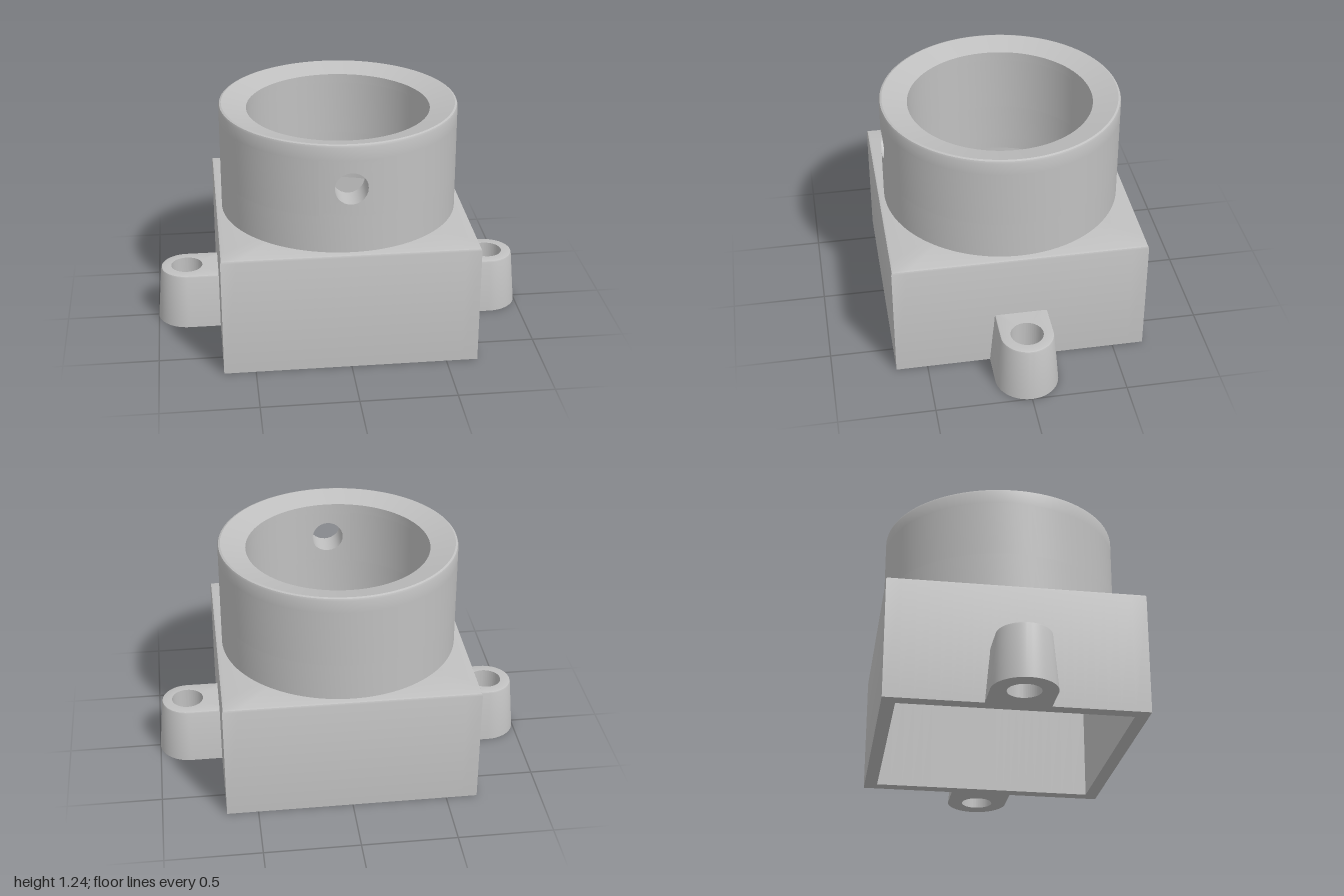
import * as THREE from 'three';
import { toCreasedNormals, mergeGeometries } from 'three/addons/utils/BufferGeometryUtils.js';

const CREASE = 0.6;
const BORE = 0.485, COLLAR = 0.63, SEGMENTS = 96;

// Skin a list of equal-length point loops; corners stay sharp, curves smooth.
function loft(loops) {
  const n = loops[0].length, index = [];
  for (let j = 0; j < loops.length - 1; j++) {
    for (let i = 0; i < n; i++) {
      const k = (i + 1) % n, a = j * n, b = a + n;
      index.push(a + i, a + k, b + k, a + i, b + k, b + i);
    }
  }
  const geometry = new THREE.BufferGeometry();
  geometry.setAttribute('position', new THREE.Float32BufferAttribute(loops.flat(2), 3));
  geometry.setIndex(index);
  return toCreasedNormals(geometry, CREASE);
}

// Horizontal loop at height y; radius is a function of the angle.
function ring(y, radius, n = SEGMENTS) {
  return Array.from({ length: n }, (_, i) => {
    const a = (i / n) * Math.PI * 2, r = radius(a);
    return [r * Math.sin(a), y, r * Math.cos(a)];
  });
}
const circle = r => () => r;
const square = h => a => h / Math.max(Math.abs(Math.sin(a)), Math.abs(Math.cos(a)));
// Round towards +x, straight sides running back towards -x.
const tongue = r => a => {
  const s = Math.sin(a), c = Math.abs(Math.cos(a));
  return s >= 0 ? r : Math.min(r / Math.max(c, 1e-6), 0.21 / -s);
};

function lathe(points, start = 0, steps = SEGMENTS) {
  const step = (Math.PI * 2) / SEGMENTS;
  const profile = points.map(p => new THREE.Vector2(...p));
  const g = new THREE.LatheGeometry(profile, steps, start * step, steps * step);
  return toCreasedNormals(g, CREASE);
}

// Piece of collar wall pierced by a round hole facing +z.
function piercedWall(halfAngle, halfHeight, y, holeRadius) {
  const loop = (R, t) => Array.from({ length: 32 }, (_, k) => {
    const f = (k % 8) / 4 - 1;
    const [u, v] = [[1, f], [-f, 1], [-1, -f], [f, -1]][Math.floor(k / 8)];
    const len = Math.hypot(u, v);
    const theta = THREE.MathUtils.lerp(u * halfAngle, Math.asin(holeRadius * u / len / R), t);
    const h = THREE.MathUtils.lerp(v * halfHeight, holeRadius * v / len, t);
    return [R * Math.sin(theta), y + h, R * Math.cos(theta)];
  });
  const steps = [0, 0.25, 0.5, 0.75, 1];
  return loft([
    ...steps.map(t => loop(COLLAR, t)),
    ...steps.slice().reverse().map(t => loop(BORE, t)),
  ]);
}

export function createModel() {
  const group = new THREE.Group();
  const grey = new THREE.MeshStandardMaterial({ color: 0xc0c0c0 });
  grey.name = 'light grey';
  const add = (name, geometry) => {
    const mesh = new THREE.Mesh(geometry, grey);
    mesh.name = name;
    group.add(mesh);
    return mesh;
  };

  // Hollow square housing, open below, with a round opening in its top plate
  add('housing', loft([
    ring(0, square(0.665)),
    ring(0.636, square(0.665)),
    ring(0.646, square(0.661)),
    ring(0.65, square(0.651)),
    ring(0.65, circle(BORE)),
    ring(0.57, circle(BORE)),
    ring(0.57, square(0.595)),
    ring(0, square(0.595)),
    ring(0, square(0.665)),
  ]));

  // Collar: lower wall, band around the screw hole, and dished rim
  const low = 0.85, high = 1.15, skip = 4;
  const band = SEGMENTS - 2 * skip;
  add('collar', mergeGeometries([
    lathe([[COLLAR, 0.65], [COLLAR, low]]),
    lathe([[BORE, low], [BORE, 0.65]]),
    lathe([[COLLAR, low], [COLLAR, high]], skip, band),
    lathe([[BORE, high], [BORE, low]], skip, band),
    lathe([[COLLAR, high], [COLLAR, 1.22], [0.626, 1.231], [0.616, 1.235],
      [BORE, 1.2], [BORE, high]]),
  ]));
  add('collarScrewHole',
    piercedWall(skip * Math.PI * 2 / SEGMENTS, (high - low) / 2, 1, 0.085));

  // Tapered mounting lugs with vertical bolt holes
  const lug = loft([
    ring(0, tongue(0.166)),
    ring(0.29, tongue(0.14)),
    ring(0.297, tongue(0.137)),
    ring(0.3, tongue(0.13)),
    ring(0.3, circle(0.085)),
    ring(0, circle(0.085)),
    ring(0, tongue(0.166)),
  ]);
  for (const side of [1, -1]) {
    const mesh = add(side > 0 ? 'leftLug' : 'rightLug', lug);
    mesh.position.x = side * 0.835;
    mesh.rotation.y = side > 0 ? 0 : Math.PI;
  }
  return group;
}
